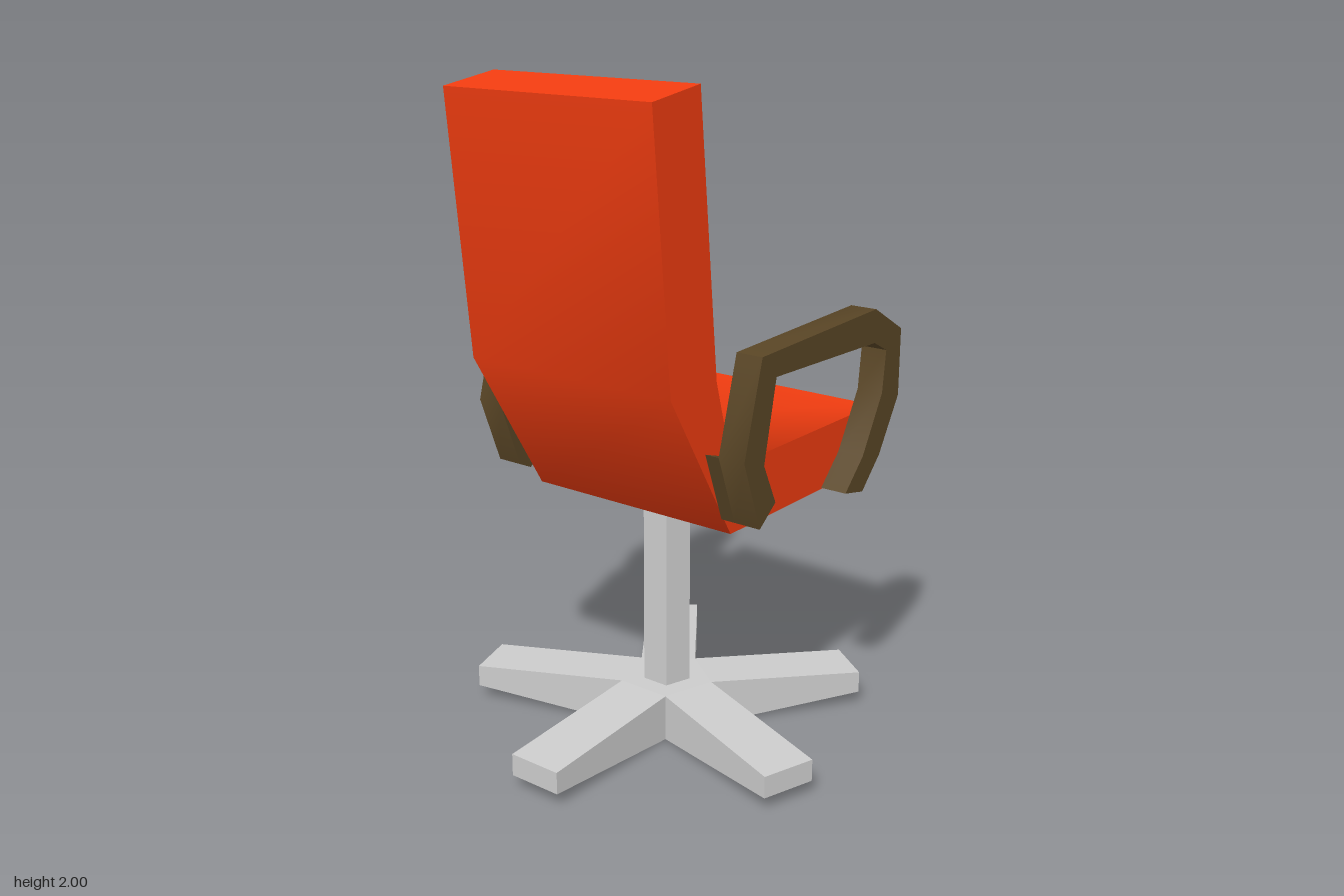
import * as THREE from 'three';
import { toCreasedNormals } from 'three/addons/utils/BufferGeometryUtils.js';

const grey = new THREE.MeshStandardMaterial({ color: 0xcccccc });
const red = new THREE.MeshStandardMaterial({ color: 0xf03c10 });
const brown = new THREE.MeshStandardMaterial({ color: 0x5a4626 });

const COLUMN_X = 0.0225; // axis of column and base
const MID_Z = 0.0175;    // middle plane of seat and armrests
const HUB_R = 0.145;

// Side profile in x, y extruded from z0 to z1
function slab(name, points, z0, z1, material, crease) {
  const shape = new THREE.Shape(points.map(([x, y]) => new THREE.Vector2(x, y)));
  const geometry = new THREE.ExtrudeGeometry(shape, { depth: z1 - z0, bevelEnabled: false });
  geometry.translate(0, 0, z0);
  const mesh = new THREE.Mesh(toCreasedNormals(geometry, crease), material);
  mesh.name = name;
  return mesh;
}

// Five-sided prism with one corner towards +x
function pentagon(name, radius, y0, y1) {
  const geometry = new THREE.CylinderGeometry(radius, radius, y1 - y0, 5, 1, false, Math.PI / 2);
  geometry.translate(0, (y0 + y1) / 2, 0);
  const mesh = new THREE.Mesh(toCreasedNormals(geometry, 0.5), grey);
  mesh.name = name;
  mesh.position.x = COLUMN_X;
  return mesh;
}

export function createModel() {
  const model = new THREE.Group();
  model.name = 'officeChair';

  // Seat and backrest in one bent cushion
  model.add(slab('seatAndBack', [
    [-0.167, 0.765], [0.587, 0.765], [0.587, 0.96], [-0.165, 0.96],
    [-0.24, 1.22], [-0.32, 2.0], [-0.513, 1.97], [-0.438, 1.212],
  ], -0.335, 0.37, red, 1.4));

  // Armrest loops, each with a bracket joining it to the seat
  const loop = [
    [-0.213, 0.823], [-0.14, 0.88], [-0.198, 1.0], [-0.148, 1.235],
    [0.357, 1.225], [0.426, 1.19], [0.412, 1.062], [0.315, 0.89],
    [0.225, 0.8], [0.32, 0.78], [0.41, 0.872], [0.508, 1.035],
    [0.508, 1.24], [0.358, 1.325], [-0.215, 1.303], [-0.29, 1.03],
  ];
  const bracket = [loop[0], loop[1], loop[2], loop[15]];
  for (const [side, s] of [['left', 1], ['right', -1]]) {
    const slabAt = (name, points, near, far) => slab(name, points,
      MID_Z + Math.min(s * near, s * far), MID_Z + Math.max(s * near, s * far), brown, 1.1);
    const arm = new THREE.Group();
    arm.name = side + 'Armrest';
    arm.add(slabAt('armLoop', loop, 0.398, 0.481), slabAt('armBracket', bracket, 0.354, 0.398));
    model.add(arm);
  }

  // Column and five-legged base
  model.add(pentagon('column', 0.0735, 0.14, 0.77));
  const base = new THREE.Group();
  base.name = 'base';
  base.add(pentagon('hub', HUB_R, 0, 0.145));
  const inner = HUB_R * Math.cos(Math.PI / 5);
  const half = HUB_R * Math.sin(Math.PI / 5);
  for (let i = 0; i < 5; i++) {
    const leg = slab('leg', [[inner, 0], [0.612, 0.042], [0.612, 0.11], [inner, 0.145]],
      -half, half, grey, 0.05);
    leg.position.x = COLUMN_X;
    leg.rotation.y = ((2 * i + 1) * Math.PI) / 5;
    base.add(leg);
  }
  model.add(base);
  return model;
}
